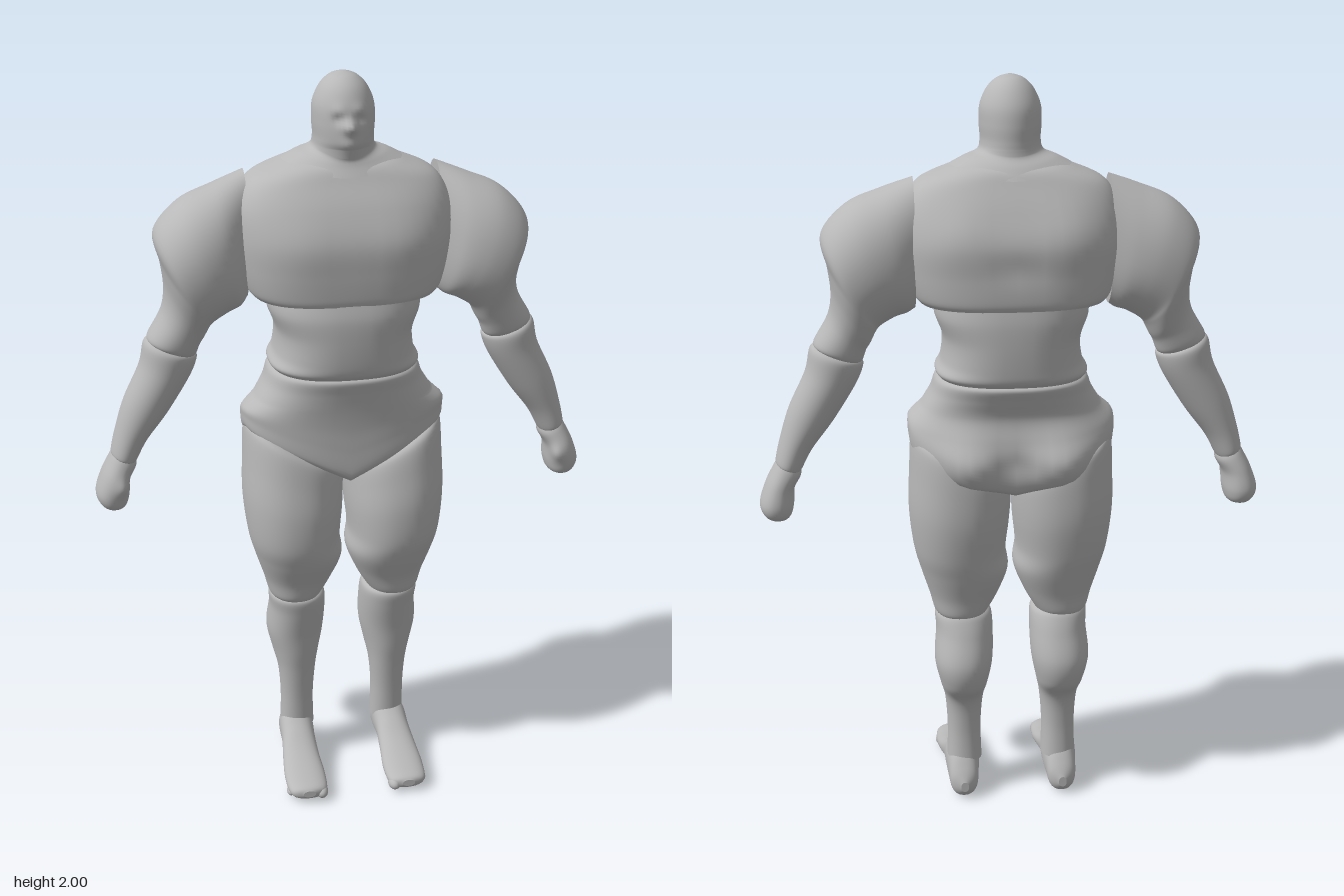
import * as THREE from 'three';

const SEGMENTS = 48, STEPS = 7;

// Catmull-Rom blend of one section value
function blend(a, b, c, d, t) {
  return 0.5 * (2 * b + (c - a) * t + (2 * a - 5 * b + 4 * c - d) * t * t + (3 * b - a - 3 * c + d) * t * t * t);
}

// Loft through sections [outerX, outerY, innerX, innerY, zFront, zBack].
// Bumps are [x, y, z, radius, pushX, pushY, pushZ]; warp moves each point by a rule.
function loft(sections, { power = 2, bumps = [], warp } = {}) {
  const rows = [];
  const at = i => sections[Math.min(Math.max(i, 0), sections.length - 1)];
  for (let i = 0; i < sections.length - 1; i++)
    for (let k = 0; k < STEPS; k++)
      rows.push(at(i).map((v, n) => blend(at(i - 1)[n], v, at(i + 1)[n], at(i + 2)[n], k / STEPS)));
  rows.push(at(sections.length - 1));
  // Repeated end rows keep the cap edges sharp
  rows.unshift(rows[0]);
  rows.push(rows[rows.length - 1]);

  const pos = [], index = [], p = new THREE.Vector3(), d = new THREE.Vector3();
  const round = v => Math.sign(v) * Math.abs(v) ** (2 / power);
  const put = (x, y, z) => {
    p.set(x, y, z);
    if (warp) warp(p);
    const start = p.clone();
    for (const [bx, by, bz, r, px, py, pz] of bumps) {
      const w = Math.exp(-d.set(bx, by, bz).distanceToSquared(start) / (r * r));
      p.add(d.set(px, py, pz).multiplyScalar(w));
    }
    pos.push(p.x, p.y, p.z);
  };
  for (const [x0, y0, x1, y1, zf, zb] of rows)
    for (let j = 0; j < SEGMENTS; j++) {
      const a = j / SEGMENTS * Math.PI * 2, c = round(Math.cos(a)), s = round(Math.sin(a));
      put((x0 + x1) / 2 + c * (x0 - x1) / 2, (y0 + y1) / 2 + c * (y0 - y1) / 2, (zf + zb) / 2 + s * (zf - zb) / 2);
    }
  for (const [x0, y0, x1, y1, zf, zb] of [rows[0], rows[rows.length - 1]])
    put((x0 + x1) / 2, (y0 + y1) / 2, (zf + zb) / 2);
  const top = rows.length * SEGMENTS, last = (rows.length - 1) * SEGMENTS;
  for (let j = 0; j < SEGMENTS; j++) {
    const n = (j + 1) % SEGMENTS;
    for (let i = 1; i < rows.length - 2; i++) {
      const a = i * SEGMENTS + j, b = i * SEGMENTS + n;
      index.push(a, b, a + SEGMENTS, b, b + SEGMENTS, a + SEGMENTS);
    }
    index.push(top, n, j, top + 1, last + j, last + n);
  }
  const geo = new THREE.BufferGeometry();
  geo.setAttribute('position', new THREE.Float32BufferAttribute(pos, 3));
  geo.setIndex(index);
  geo.computeVertexNormals();
  return geo;
}

// Mirror image across x, with corner order restored
function mirrored(geo) {
  const m = geo.clone().scale(-1, 1, 1), idx = m.index.array;
  for (let i = 0; i < idx.length; i += 3) [idx[i], idx[i + 1]] = [idx[i + 1], idx[i]];
  m.computeVertexNormals();
  return m;
}

const wide = rows => rows.map(([x, y, f, b]) => [x, y, -x, y, f, b]);
const upright = rows => rows.map(([y, o, i, f, b]) => [o, y, i, y, f, b]);
const both = list => list.flatMap(b => [b, [-b[0], b[1], b[2], b[3], -b[4], b[5], b[6]]]);

export function createModel() {
  const model = new THREE.Group();
  const grey = new THREE.MeshStandardMaterial({ color: 0xb8b8b8 });
  grey.name = 'grey';
  const add = (name, geo) => {
    const mesh = new THREE.Mesh(geo, grey);
    mesh.name = name;
    model.add(mesh);
  };
  const addPair = (name, geo) => {
    add('left' + name, geo);
    add('right' + name, mirrored(geo));
  };

  // Bald head flaring into the collar
  add('head', loft(wide([
    [0.008, 2.0, -0.015, -0.03], [0.035, 1.99, 0.02, -0.065], [0.06, 1.965, 0.05, -0.093],
    [0.077, 1.925, 0.07, -0.115], [0.079, 1.88, 0.077, -0.122], [0.077, 1.84, 0.076, -0.122],
    [0.085, 1.815, 0.066, -0.125], [0.12, 1.8, 0.07, -0.145], [0.155, 1.782, 0.085, -0.165],
  ]), {
    warp: p => { if (p.y < 1.82) p.y -= 3 * Math.max(0, Math.abs(p.z + 0.04) - 0.03) ** 2; },
    bumps: [[0, 1.88, 0.078, 0.016, 0, 0, 0.024], [0, 1.83, 0.075, 0.025, 0, 0, 0.008],
      ...both([[0.028, 1.897, 0.07, 0.014, 0, 0, -0.009], [0.026, 1.918, 0.065, 0.016, 0, 0, 0.005]])],
  }));

  // Torso
  add('chest', loft(wide([
    [0.12, 1.79, 0.04, -0.12], [0.165, 1.775, 0.068, -0.15], [0.24, 1.74, 0.09, -0.172],
    [0.275, 1.68, 0.123, -0.203], [0.28, 1.6, 0.15, -0.235], [0.27, 1.52, 0.153, -0.237],
    [0.255, 1.46, 0.15, -0.235], [0.24, 1.44, 0.145, -0.228],
  ]), {
    power: 2.8,
    bumps: [[0, 1.55, -0.23, 0.04, 0, 0, 0.008],
      ...both([[0.12, 1.6, 0.15, 0.09, 0, 0, 0.007], [0.13, 1.64, -0.2, 0.07, 0, 0, -0.01]])],
  }));
  add('abdomen', loft(wide([
    [0.2, 1.445, 0.145, -0.22], [0.2, 1.4, 0.155, -0.226], [0.18, 1.34, 0.155, -0.226],
    [0.185, 1.28, 0.15, -0.222], [0.2, 1.25, 0.143, -0.217], [0.192, 1.235, 0.13, -0.205],
  ]), { power: 2.5 }));
  add('pelvis', loft(wide([
    [0.19, 1.237, 0.125, -0.2], [0.202, 1.225, 0.134, -0.21], [0.215, 1.19, 0.125, -0.195],
    [0.245, 1.14, 0.115, -0.175], [0.272, 1.08, 0.108, -0.18], [0.275, 1.02, 0.106, -0.19],
    [0.27, 0.95, 0.104, -0.18], [0.25, 0.93, 0.09, -0.165],
  ]), {
    power: 2.4,
    warp: p => {
      const s = Math.max(0, 1.15 - p.y) / 0.22, back = THREE.MathUtils.smoothstep(-p.z, 0, 0.15);
      p.y += s * Math.abs(p.x) * (0.5 - 0.25 * back);
    },
    bumps: [[0, 1.02, -0.2, 0.04, 0, 0, 0.02], ...both([[0.13, 1.02, -0.19, 0.085, 0, -0.01, -0.045]])],
  }));

  // Arms
  addPair('UpperArm', loft([
    [0.25, 1.755, 0.25, 1.42, 0.03, -0.15], [0.33, 1.725, 0.27, 1.405, 0.085, -0.172],
    [0.42, 1.685, 0.30, 1.395, 0.107, -0.182], [0.485, 1.61, 0.335, 1.375, 0.105, -0.178],
    [0.472, 1.53, 0.35, 1.36, 0.088, -0.168], [0.465, 1.46, 0.365, 1.33, 0.062, -0.148],
    [0.475, 1.4, 0.377, 1.31, 0.048, -0.132], [0.512, 1.335, 0.386, 1.285, 0.036, -0.123],
    [0.512, 1.32, 0.393, 1.275, 0.025, -0.112],
  ], { power: 2.15 }));
  addPair('Forearm', loft([
    [0.515, 1.325, 0.39, 1.28, 0.022, -0.11], [0.526, 1.31, 0.387, 1.265, 0.034, -0.123],
    [0.54, 1.25, 0.408, 1.215, 0.031, -0.121], [0.585, 1.155, 0.468, 1.12, 0.025, -0.115],
    [0.612, 1.07, 0.525, 1.045, 0.015, -0.108], [0.625, 1.015, 0.555, 0.99, 0.01, -0.105],
    [0.622, 1.005, 0.56, 0.983, 0.003, -0.098],
  ]));
  addPair('Hand', loft([
    [0.62, 1.015, 0.56, 0.99, 0.0, -0.095], [0.632, 0.995, 0.56, 0.97, 0.01, -0.105],
    [0.655, 0.95, 0.578, 0.935, 0.02, -0.115], [0.672, 0.895, 0.582, 0.888, 0.02, -0.122],
    [0.658, 0.86, 0.592, 0.858, 0.005, -0.105], [0.63, 0.846, 0.615, 0.846, -0.035, -0.06],
  ], { power: 2.2, bumps: [[0.6, 0.925, 0.015, 0.025, -0.006, 0, 0.012]] }));

  // Legs
  addPair('Thigh', loft([
    [0.255, 1.08, 0.012, 0.945, 0.08, -0.17], [0.268, 1.06, 0.002, 0.925, 0.102, -0.19],
    [0.273, 0.97, 0.002, 0.88, 0.118, -0.196], [0.276, 0.86, 0.006, 0.82, 0.132, -0.194],
    [0.265, 0.75, 0.014, 0.74, 0.13, -0.177], [0.247, 0.68, 0.008, 0.68, 0.11, -0.158],
    [0.225, 0.61, 0.035, 0.61, 0.076, -0.133], [0.212, 0.562, 0.062, 0.562, 0.062, -0.122],
    [0.2, 0.548, 0.072, 0.548, 0.05, -0.11],
  ], { power: 2.2 }));
  addPair('Shin', loft(upright([
    [0.56, 0.2, 0.068, 0.045, -0.115], [0.545, 0.21, 0.055, 0.058, -0.125], [0.5, 0.208, 0.052, 0.05, -0.142],
    [0.42, 0.214, 0.055, 0.032, -0.165], [0.35, 0.2, 0.068, 0.022, -0.15],
    [0.29, 0.186, 0.08, 0.013, -0.106], [0.2, 0.18, 0.087, 0.004, -0.095], [0.1, 0.182, 0.085, 0, -0.1],
  ]), { power: 2.15 }));

  // Feet run from toe to heel; local y becomes z
  const sole = [
    [0.232, 0.16, 0.125, -0.022, -0.042], [0.215, 0.192, 0.092, -0.01, -0.052], [0.15, 0.2, 0.085, -0.01, -0.062],
    [0.08, 0.195, 0.09, -0.022, -0.085], [0.02, 0.188, 0.092, -0.03, -0.12],
    [-0.03, 0.187, 0.09, -0.02, -0.15], [-0.08, 0.182, 0.096, -0.001, -0.135],
    [-0.115, 0.175, 0.103, -0.004, -0.09], [-0.135, 0.15, 0.128, -0.025, -0.055],
  ];
  addPair('Foot', loft(upright(sole), { power: 2.2 }).rotateX(Math.PI / 2));
  for (let i = 0; i < 5; i++) {
    const r = i ? 0.012 : 0.018;
    addPair('Toe' + (i + 1), new THREE.SphereGeometry(r, 16, 12).scale(1, 1, 1.5)
      .translate([0.105, 0.133, 0.154, 0.173, 0.189][i], r + 0.006, 0.208 - i * 0.006));
  }
  return model;
}
